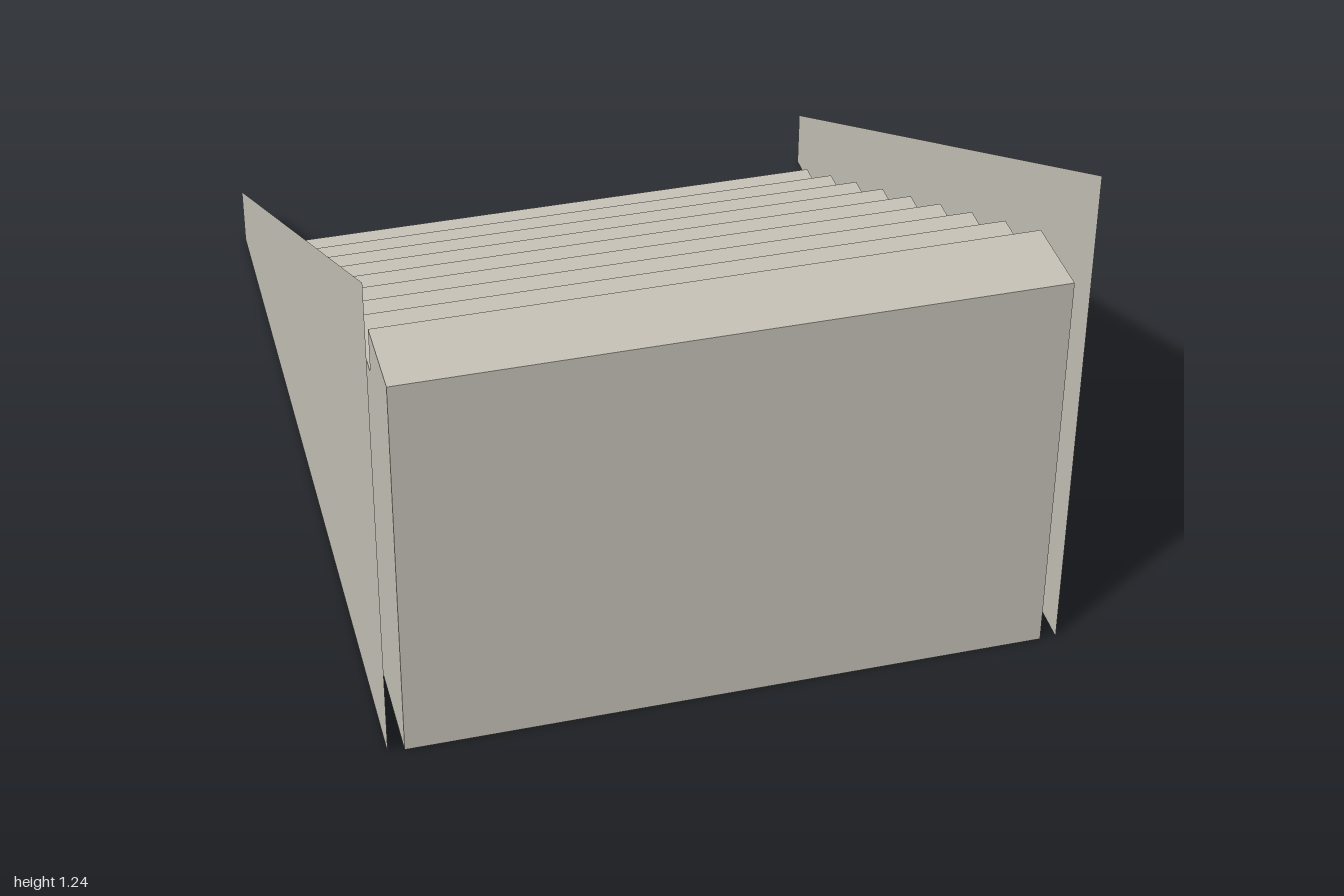
import * as THREE from 'three';

const STEPS = 9;
const TREAD = 0.2;
const HEIGHT = 0.98;
const WIDTH = 1.45;
const PANEL_X = 0.762;

// Side profiles are drawn as (z, y) and turned so that they run along z
const profile = (points) => new THREE.Shape(points.map(([z, y]) => new THREE.Vector2(z, y)));

export function createModel() {
  const model = new THREE.Group();
  model.name = 'staircase';

  const stone = new THREE.MeshStandardMaterial({ color: 0xc8c4b9 });
  stone.name = 'stone';
  stone.side = THREE.DoubleSide;

  // Solid flight of steps climbing towards the front
  const outline = [[1, 0], [1, HEIGHT]];
  for (let i = STEPS - 1; i >= 0; i--) {
    const z = -0.8 + i * TREAD;
    outline.push([z, (HEIGHT * (i + 1)) / STEPS], [z, (HEIGHT * i) / STEPS]);
  }
  const stepGeometry = new THREE.ExtrudeGeometry(profile(outline), { depth: WIDTH, bevelEnabled: false });
  stepGeometry.translate(0, 0, -WIDTH / 2).rotateY(-Math.PI / 2);
  const steps = new THREE.Mesh(stepGeometry, stone);
  steps.name = 'steps';
  model.add(steps);

  // Thin sloping side panels, standing just clear of the steps
  const panelGeometry = new THREE.ShapeGeometry(profile([[-1, 0], [1, 0], [1, 1.24], [-1, 0.15]]));
  panelGeometry.rotateY(-Math.PI / 2);
  for (const [name, side] of [['leftPanel', 1], ['rightPanel', -1]]) {
    const panel = new THREE.Mesh(panelGeometry, stone);
    panel.name = name;
    panel.position.x = side * PANEL_X;
    model.add(panel);
  }

  return model;
}
